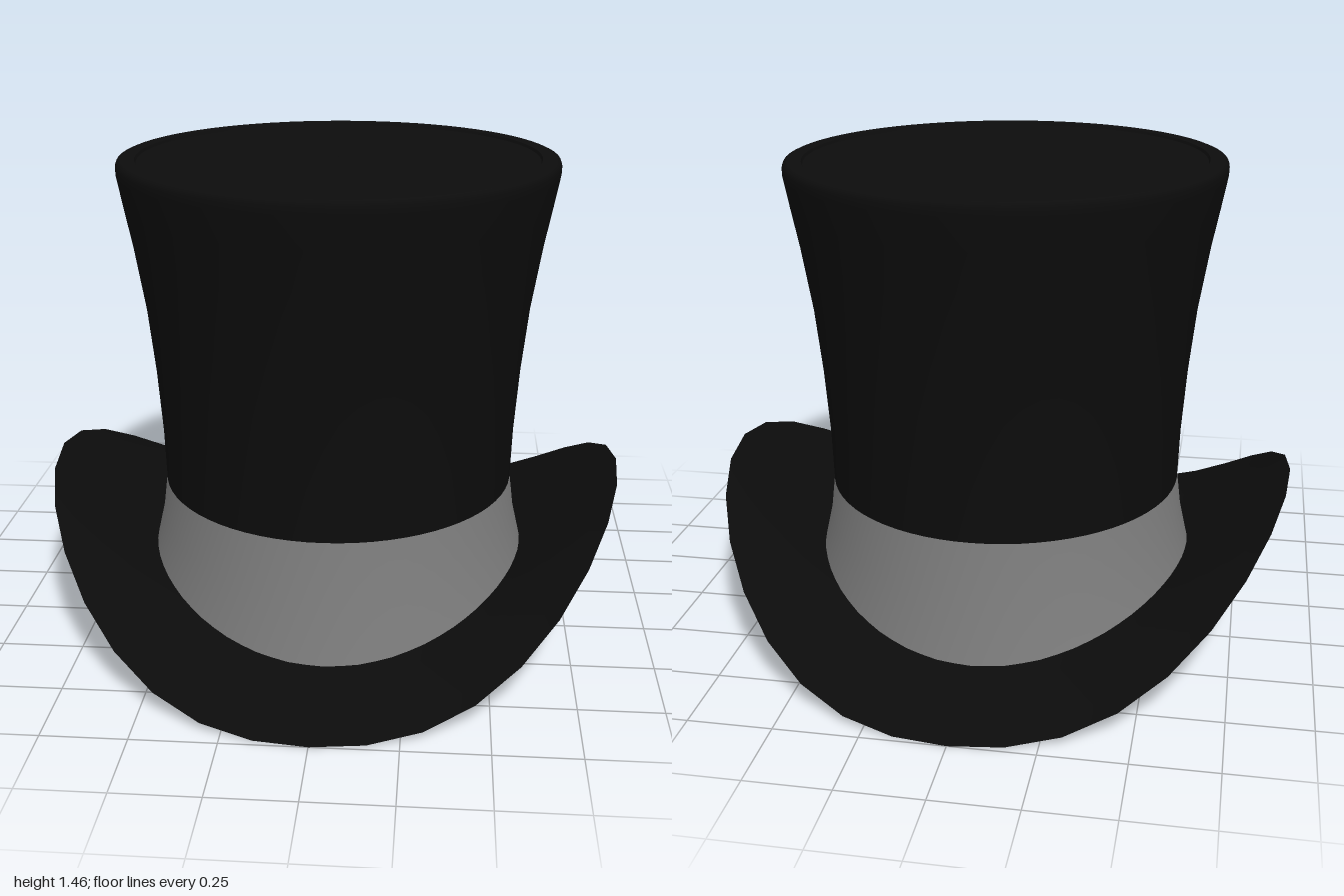
import * as THREE from 'three';

const black = new THREE.MeshStandardMaterial({ color: 0x0c0c0c, side: THREE.DoubleSide });
black.name = 'black felt';
const grey = new THREE.MeshStandardMaterial({ color: 0x808080, side: THREE.DoubleSide });
grey.name = 'grey ribbon';

// Closed loops of points joined into a smooth skin; each ring is a function of (sin, cos)
function loft(name, rings, segments, material) {
  const pos = [], index = [];
  for (const ring of rings) {
    for (let i = 0; i < segments; i++) {
      const a = (i / segments) * Math.PI * 2;
      pos.push(...ring(Math.sin(a), Math.cos(a)));
    }
  }
  for (let r = 0; r < rings.length - 1; r++) {
    for (let i = 0; i < segments; i++) {
      const j = (i + 1) % segments;
      const a = r * segments + i, b = r * segments + j;
      index.push(a, b, b + segments, a, b + segments, a + segments);
    }
  }
  const geo = new THREE.BufferGeometry();
  geo.setAttribute('position', new THREE.Float32BufferAttribute(pos, 3));
  geo.setIndex(index);
  geo.computeVertexNormals();
  const mesh = new THREE.Mesh(geo, material);
  mesh.name = name;
  return mesh;
}

const CX = 0.008; // the crown sits a touch off centre
const oval = (rx, rz, y) => (s, c) => [CX + rx * s, y, rz * c];
const mix = (p, q, t) => p.map((v, k) => v + (q[k] - v) * t);

// Saddle-shaped edges of the brim: low at front and back, raised at the sides
const innerTop = (s, c) => [CX + 0.6 * s, 0.04 + 0.165 * s * s, 0.625 * c];
const innerBottom = (s, c) => [CX + 0.6 * s, 0.01 + 0.16 * s * s, 0.61 * c];
const outer = (s, c) => [0.91 * s, 0.005 + 0.48 * Math.abs(s) ** 2.8, c];

// Rings across the brim with a slight bulge
function across(from, to, bulge) {
  return [0, 0.2, 0.4, 0.6, 0.8, 1].map((t) => (s, c) => {
    const p = mix(from(s, c), to(s, c), t);
    p[1] += bulge * 4 * t * (1 - t);
    return p;
  });
}

export function createModel() {
  const hat = new THREE.Group();
  hat.name = 'topHat';

  // Brim, tapering to a thin outer edge
  const brim = new THREE.Group();
  brim.name = 'brim';
  brim.add(
    loft('brimUnderside', across(innerBottom, outer, 0), 36, black),
    loft('brimTop', across(outer, innerTop, 0.003), 36, black),
    loft('brimInnerEdge', [innerTop, innerBottom], 36, black),
  );
  hat.add(brim);

  // Ribbon band, following the curve of the brim
  const bandTop = oval(0.56, 0.597, 0.43);
  hat.add(loft('band', [0, 0.5, 1].map((t) => (s, c) => {
    const p = mix(innerTop(s, c), bandTop(s, c), t);
    const pinch = 0.006 * 4 * t * (1 - t);
    return [p[0] - pinch * s, p[1], p[2] - pinch * c];
  }), 72, grey));

  // Flared crown wall with a rounded upper edge: [height, half width]
  const wall = [
    [0.43, 0.56], [0.6, 0.566], [0.8, 0.581], [1.0, 0.603], [1.2, 0.636],
    [1.32, 0.66], [1.42, 0.679], [1.445, 0.68], [1.458, 0.675], [1.462, 0.666],
  ];
  hat.add(loft('crown', wall.map(([y, r]) => oval(r, r + 0.038, y)), 72, black));

  // Flat top with a raised rim around a shallow recess
  hat.add(loft('crownRim', [oval(0.666, 0.704, 1.462), oval(0.622, 0.664, 1.462)], 72, black));
  hat.add(loft('rimStep', [oval(0.622, 0.664, 1.462), oval(0.618, 0.66, 1.454)], 72, black));
  hat.add(loft('crownTop', [oval(0.618, 0.66, 1.454), oval(0.001, 0.001, 1.454)], 72, black));

  return hat;
}
